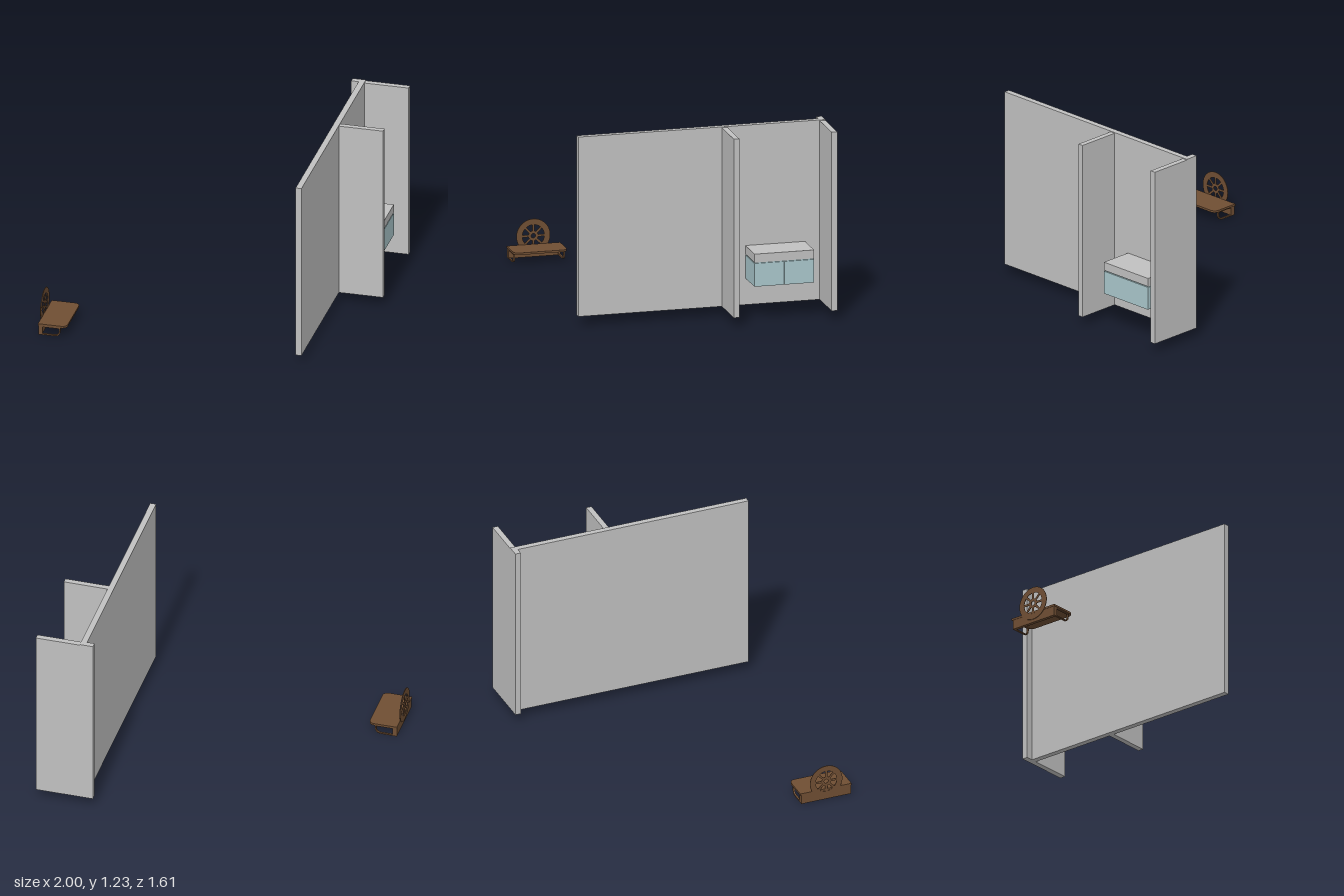
import * as THREE from 'three';

const grey = new THREE.MeshStandardMaterial({ color: 0xc0c0c0 });
grey.name = 'wall grey';
const teal = new THREE.MeshStandardMaterial({ color: 0xa9c6cb });
teal.name = 'pale teal';
const brown = new THREE.MeshStandardMaterial({ color: 0x6f4e33 });
brown.name = 'wood brown';

// Box given by its lower and upper corners
function box(name, material, [x0, y0, z0], [x1, y1, z1]) {
  const mesh = new THREE.Mesh(new THREE.BoxGeometry(x1 - x0, y1 - y0, z1 - z0), material);
  mesh.position.set((x0 + x1) / 2, (y0 + y1) / 2, (z0 + z1) / 2);
  mesh.name = name;
  return mesh;
}

function extrude(shape, depth) {
  return new THREE.ExtrudeGeometry(shape, { depth, bevelEnabled: false, curveSegments: 10 });
}

// Closed outline of a bracket, shrunk by t
function bracketPath(PathType, t) {
  const p = new PathType();
  p.moveTo(-0.978 + t, t);
  p.lineTo(-0.89, t);
  p.quadraticCurveTo(-0.855 - t, 0.002 + t, -0.855 - t, 0.042);
  p.lineTo(-0.855 - t, 0.062 - t);
  p.lineTo(-0.978 + t, 0.062 - t);
  p.closePath();
  return p;
}

function createBench() {
  const bench = new THREE.Group();
  bench.name = 'wallShelf';

  // Top board with two rounded front corners
  const x0 = -1, x1 = -0.815, z0 = 0.455, z1 = 0.803, r = 0.035;
  const top = new THREE.Shape();
  top.moveTo(x0, z0);
  top.lineTo(x1 - r, z0);
  top.absarc(x1 - r, z0 + r, r, -Math.PI / 2, 0);
  top.absarc(x1 - r, z1 - r, r, 0, Math.PI / 2);
  top.lineTo(x0, z1);
  top.closePath();
  const board = new THREE.Mesh(extrude(top, 0.013).rotateX(Math.PI / 2), brown);
  board.position.y = 0.075;
  board.name = 'shelfBoard';
  bench.add(board);

  bench.add(box('backRail', brown, [-0.998, 0, 0.462], [-0.976, 0.063, 0.8]));

  // Looped brackets at both ends
  for (const z of [0.462, 0.788]) {
    const shape = bracketPath(THREE.Shape, 0);
    shape.holes.push(bracketPath(THREE.Path, 0.008));
    const bracket = new THREE.Mesh(extrude(shape, 0.012), brown);
    bracket.position.z = z;
    bracket.name = 'bracket';
    bench.add(bracket);
  }
  return bench;
}

// Thin spoked disc standing against the back of the shelf
function createWheel() {
  const wheel = new THREE.Group();
  wheel.name = 'spokedDisc';
  const depth = 0.004;
  const ring = (name, outer, inner) => {
    const shape = new THREE.Shape().absarc(0, 0, outer, 0, Math.PI * 2);
    shape.holes.push(new THREE.Path().absarc(0, 0, inner, 0, Math.PI * 2, true));
    const geometry = new THREE.ExtrudeGeometry(shape, { depth, bevelEnabled: false, curveSegments: 32 });
    const mesh = new THREE.Mesh(geometry, brown);
    mesh.name = name;
    wheel.add(mesh);
  };
  ring('rim', 0.11, 0.072);
  ring('hub', 0.032, 0.014);
  for (let i = 0; i < 8; i++) {
    const a = (i * Math.PI) / 4;
    const spoke = new THREE.Mesh(new THREE.BoxGeometry(0.05, 0.014, depth * 0.9), brown);
    spoke.position.set(Math.cos(a) * 0.052, Math.sin(a) * 0.052, depth / 2);
    spoke.rotation.z = a;
    spoke.name = 'spoke';
    wheel.add(spoke);
  }
  wheel.rotation.y = Math.PI / 2;
  wheel.position.set(-1.002, 0.13, 0.63);
  return wheel;
}

export function createModel() {
  const model = new THREE.Group();
  model.name = 'roomFittings';

  // Long wall with a cross panel at the back and a partition
  model.add(
    box('longWall', grey, [0.673, 0.062, -0.768], [0.711, 1.23, 0.803]),
    box('backPanelEnd', grey, [0.625, 0.062, -0.805], [0.711, 1.23, -0.768]),
    box('backPanel', grey, [0.711, 0.062, -0.805], [0.998, 1.225, -0.768]),
    box('partition', grey, [0.711, 0.062, -0.167], [0.998, 1.225, -0.131]),
  );

  // Wall cabinet: two drawers under a worktop
  const cabinet = new THREE.Group();
  cabinet.name = 'cabinet';
  cabinet.add(
    box('worktop', grey, [0.711, 0.392, -0.673], [0.926, 0.447, -0.285]),
    box('cabinetCore', teal, [0.711, 0.237, -0.67], [0.918, 0.392, -0.288]),
    box('rearDrawer', teal, [0.711, 0.235, -0.673], [0.926, 0.386, -0.48]),
    box('frontDrawer', teal, [0.711, 0.235, -0.478], [0.926, 0.386, -0.285]),
  );
  model.add(cabinet, createBench(), createWheel());
  return model;
}
